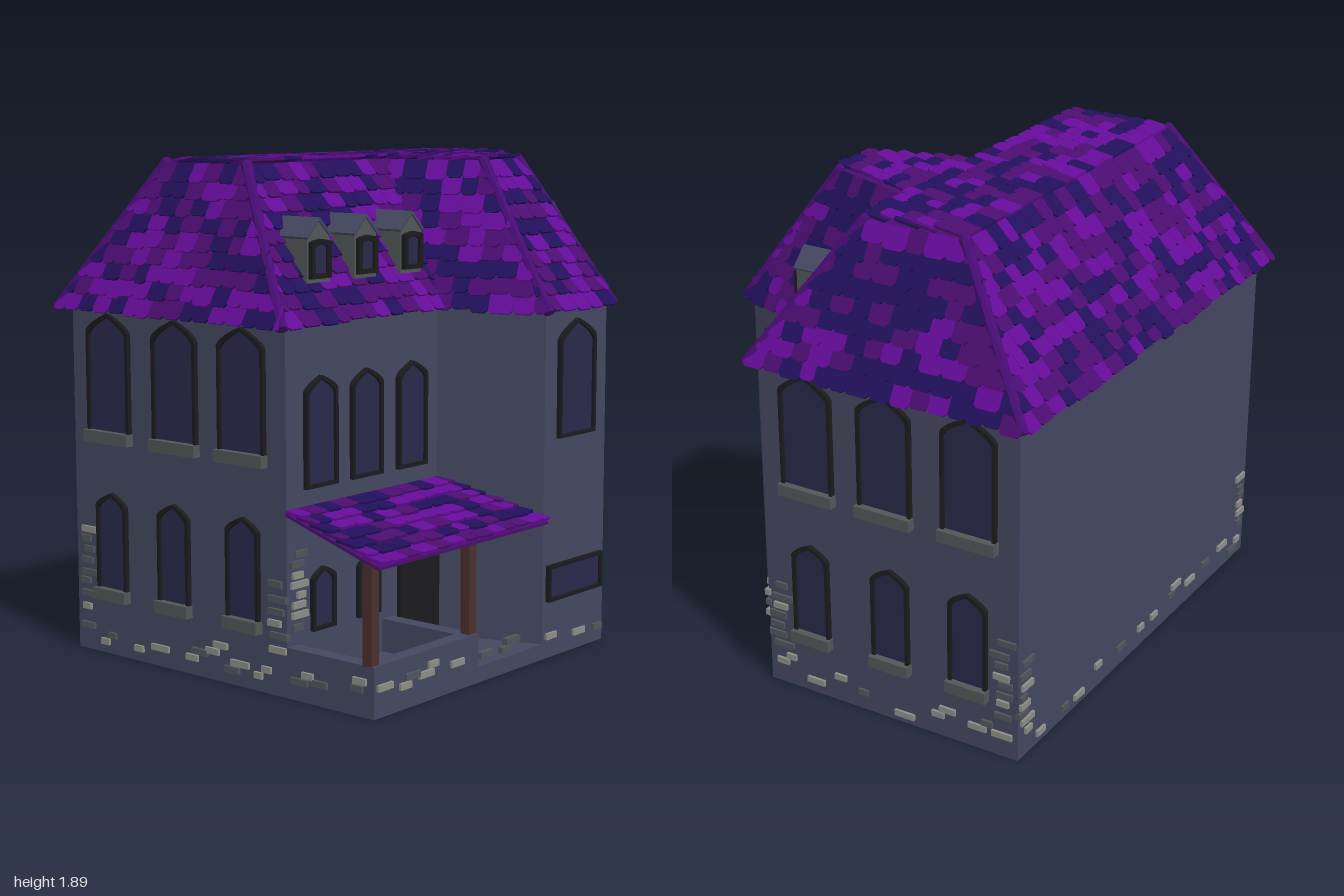
import * as THREE from 'three';
import { mergeGeometries } from 'three/addons/utils/BufferGeometryUtils.js';
import { ConvexGeometry } from 'three/addons/geometries/ConvexGeometry.js';

const mat = (color) => new THREE.MeshStandardMaterial({ color, flatShading: true });
const WALL = mat(0x44475f), GLASS = mat(0x29284a), FRAME = mat(0x1b1b1d), SILL = mat(0x525656);
const STONES = [mat(0x8d8d88), mat(0x50545a)], WOOD = mat(0x4a2f2c), RIDGE = mat(0x480c74);
const TILES = [mat(0x640c98), mat(0x4b0d70), mat(0x22105c)];
const V = (x, y, z) => new THREE.Vector3(x, y, z);

let seed = 7;
const rand = () => (seed = (seed * 16807) % 2147483647) / 2147483647;

function add(parent, name, geo, material, x = 0, y = 0, z = 0) {
  const m = new THREE.Mesh(geo, material);
  m.name = name;
  m.position.set(x, y, z);
  parent.add(m);
  return m;
}
// box given by its minimum and maximum corners
const block = (g, name, m, a, b) => add(g, name, new THREE.BoxGeometry(b[0] - a[0], b[1] - a[1], b[2] - a[2]), m,
  (a[0] + b[0]) / 2, (a[1] + b[1]) / 2, (a[2] + b[2]) / 2);

const polygon = (pts) => new THREE.Shape(pts.map((p) => new THREE.Vector2(...p)));
const extrude = (shape, depth) => new THREE.ExtrudeGeometry(shape, { depth, bevelEnabled: false, curveSegments: 5 });

// pointed-arch outline; peak = 0 gives a rectangle
function arch(w, h, peak, inset = 0) {
  const x = w / 2 - inset, top = h - inset, s = new THREE.Shape();
  s.moveTo(-x, inset);
  s.lineTo(x, inset);
  s.lineTo(x, top - peak);
  if (peak) {
    s.quadraticCurveTo(x * 0.92, top - peak * 0.6, 0, top);
    s.quadraticCurveTo(-x * 0.92, top - peak * 0.6, -x, top - peak);
  } else s.lineTo(-x, top);
  s.closePath();
  return s;
}

// window with frame, glass and optional sill, in a wall's local frame
function addWindow(wall, x, y, w, h, { peak = w * 0.32, sill = false, rim = 0.014 } = {}) {
  const g = new THREE.Group();
  g.name = 'window';
  g.position.set(x, y, 0);
  const frame = arch(w, h, peak);
  frame.holes.push(arch(w, h, peak, rim));
  add(g, 'windowFrame', extrude(frame, 0.018), FRAME);
  add(g, 'windowGlass', extrude(arch(w, h, peak, rim), 0.006), GLASS);
  if (sill) add(g, 'windowSill', new THREE.BoxGeometry(w + 0.01, 0.045, 0.07), SILL, 0, 0.012, 0);
  wall.add(g);
}

// wall frame: local x runs along the wall, local z points outward
function wallFrame(parent, name, x, z, angle) {
  const g = new THREE.Group();
  g.name = name;
  g.position.set(x, 0, z);
  g.rotation.y = angle;
  parent.add(g);
  return g;
}

function addStone(wall, x, y) {
  const w = 0.04 + rand() * 0.05;
  add(wall, 'stone', new THREE.BoxGeometry(w, 0.024, 0.022), STONES[rand() < 0.55 ? 0 : 1], x, y, 0);
}
// scattered stones along the foot of a wall from x0 to x1
function footStones(wall, x0, x1) {
  for (let x = x0 + 0.05; x < x1 - 0.04; x += 0.09 + rand() * 0.1) {
    const y = 0.035 + rand() * 0.08;
    addStone(wall, x, y);
    if (rand() < 0.5) addStone(wall, Math.min(x + 0.04, x1 - 0.05), y + 0.028);
  }
}
// stack of quoins near a wall corner
function cornerStones(wall, x, y0, y1) {
  for (let y = y0; y < y1; y += 0.03 + rand() * 0.025) addStone(wall, x + (rand() - 0.5) * 0.035, y);
}

// rows of overlapping shingles on the face a-b (eave) to d-c (top), seen from outside
function shingles(parent, a, b, c, d, rowHeight = 0.068) {
  const s = b.clone().sub(a), len = s.length();
  s.normalize();
  const n = s.clone().cross(d.clone().sub(a)).normalize(), t = n.clone().cross(s);
  const H = d.clone().sub(a).dot(t), kl = d.clone().sub(a).dot(s) / H, kr = c.clone().sub(b).dot(s) / H;
  const basis = new THREE.Matrix4().makeBasis(s, t, n).setPosition(a);
  const rows = Math.round(H / rowHeight), rh = H / rows, lots = TILES.map(() => []);
  for (let r = 0; r < rows; r++) {
    const left = kl * r * rh, right = len + kr * r * rh;
    let x = left - rand() * 0.05;
    while (x < right) {
      const w = 0.06 + rand() * 0.04, x0 = Math.max(x, left) + 0.001, x1 = Math.min(x + w, right) - 0.001;
      x += w;
      if (x1 - x0 < 0.014) continue;
      const t0 = r * rh - 0.008 - rand() * 0.014, t1 = Math.min((r + 1.2) * rh, H);
      const xl = Math.min(Math.max(x0, kl * t1), x1 - 0.002), xr = Math.max(Math.min(x1, len + kr * t1), xl + 0.001);
      const e = Math.min(0.012, (x1 - x0) / 3);
      const geo = extrude(polygon([[x0 + e, t0], [x1 - e, t0], [x1, t0 + e], [xr, t1], [xl, t1], [x0, t0 + e]]), 0.01);
      const p = geo.attributes.position;
      for (let i = 0; i < p.count; i++) p.setZ(i, p.getZ(i) + (t1 - p.getY(i)) * 0.16);
      lots[Math.floor(rand() * 3)].push(geo.applyMatrix4(basis));
    }
  }
  lots.forEach((l, i) => l.length && add(parent, 'shingles', mergeGeometries(l), TILES[i]));
}

// round ridge beam with a knob at its upper end
function ridge(parent, low, high, r = 0.022) {
  const dir = high.clone().sub(low), mid = low.clone().add(high).multiplyScalar(0.5);
  const m = add(parent, 'hipRidge', new THREE.CylinderGeometry(r, r, dir.length(), 8), RIDGE, mid.x, mid.y, mid.z);
  m.quaternion.setFromUnitVectors(V(0, 1, 0), dir.normalize());
  add(parent, 'ridgeKnob', new THREE.SphereGeometry(r, 8, 6), RIDGE, high.x, high.y, high.z);
}

// truncated roof: eave and top are matching outlines [x, z] counter-clockwise from above
function hipRoof(parent, name, eave, top, openSides, hips) {
  const g = new THREE.Group();
  g.name = name;
  parent.add(g);
  const lo = eave.map(([x, z]) => V(x, 1.325, z)), hi = top.map(([x, z]) => V(x, 1.865, z));
  add(g, 'roofCore', new ConvexGeometry([...lo, ...hi]), TILES[1]);
  for (const i of openSides) {
    const j = (i + 1) % lo.length;
    shingles(g, lo[i], lo[j], hi[j], hi[i]);
  }
  shingles(g, hi[0], hi[1], hi[2], hi[3]);
  for (const i of hips) ridge(g, lo[i].clone().add(V(0, -0.005, 0)), hi[i].clone());
}

export function createModel() {
  const house = new THREE.Group();
  house.name = 'house';

  // walls
  block(house, 'mainBody', WALL, [-0.945, 0, -0.74], [0.945, 1.335, 0.35]);
  const bay = polygon([[-0.1, -0.35], [0.04, -0.75], [0.44, -0.75], [0.58, -0.35]].reverse());
  add(house, 'frontBay', extrude(bay, 1.335).rotateX(-Math.PI / 2), WALL);

  // front wall
  const front = wallFrame(house, 'frontWall', 0, 0.35, 0);
  for (const x of [-0.77, -0.52, -0.26]) addWindow(front, x, 0.74, 0.17, 0.4);
  for (const x of [-0.76, -0.51]) addWindow(front, x, 0.22, 0.125, 0.23);
  addWindow(front, 0.765, 0.84, 0.235, 0.445);
  addWindow(front, 0.76, 0.215, 0.3, 0.145, { peak: 0 });
  block(front, 'door', FRAME, [-0.335, 0.06, -0.02], [-0.1, 0.45, 0.015]);
  footStones(front, 0.6, 0.94);
  cornerStones(front, 0.9, 0.2, 0.43);
  cornerStones(front, -0.89, 0.25, 0.52);

  // bay front and its slanted right side
  const bayFront = wallFrame(house, 'bayFront', 0.24, 0.75, 0);
  addWindow(bayFront, -0.005, 0.84, 0.235, 0.445);
  addWindow(bayFront, -0.003, 0.22, 0.355, 0.14, { peak: 0 });
  footStones(bayFront, -0.2, 0.2);
  footStones(wallFrame(house, 'baySide', 0.51, 0.55, Math.atan2(0.4, 0.14)), -0.2, 0.2);

  // matching side walls
  for (const side of [1, -1]) {
    const wall = wallFrame(house, side > 0 ? 'leftWall' : 'rightWall', side * 0.945, 0, side * Math.PI / 2);
    for (const z of [0.145, -0.19, -0.54]) addWindow(wall, -side * z, 0.83, 0.225, 0.48, { sill: true });
    for (const z of [0.145, -0.205, -0.535]) addWindow(wall, -side * z, 0.225, 0.16, 0.405, { sill: true });
    const ends = [-side * 0.34, side * 0.73].sort((p, q) => p - q);
    footStones(wall, ...ends);
    cornerStones(wall, -side * 0.3, 0.17, 0.43);
    cornerStones(wall, side * 0.68, 0.17, 0.5);
  }

  // back wall
  const back = wallFrame(house, 'backWall', 0, -0.74, Math.PI);
  footStones(back, -0.93, 0.93);
  for (const x of [-0.9, 0.9]) cornerStones(back, x, 0.15, 0.4);

  // porch with parapet, posts and lean-to roof
  const porch = new THREE.Group();
  porch.name = 'porch';
  house.add(porch);
  block(porch, 'porchFloor', WALL, [-0.945, 0, 0.34], [0.04, 0.06, 0.75]);
  block(porch, 'porchFrontParapet', WALL, [-0.945, 0, 0.69], [-0.36, 0.185, 0.75]);
  for (const x of [-0.945, -0.42]) block(porch, 'porchSideParapet', WALL, [x, 0, 0.34], [x + 0.06, 0.185, 0.75]);
  for (const x of [-0.925, -0.38]) block(porch, 'porchPost', WOOD, [x - 0.02, 0.18, 0.7], [x + 0.02, 0.56, 0.74]);
  footStones(wallFrame(porch, 'porchFrontStones', 0, 0.75, 0), -0.94, -0.1);
  footStones(wallFrame(porch, 'porchSideStones', -0.945, 0.55, -Math.PI / 2), -0.19, 0.19);
  const lean = [V(-0.95, 0.54, 0.775), V(0.035, 0.54, 0.775), V(-0.1, 0.67, 0.35), V(-0.95, 0.67, 0.35)];
  add(porch, 'porchRoofSlab', new ConvexGeometry([...lean, ...lean.map((p) => p.clone().add(V(0, -0.012, 0)))]), TILES[1]);
  shingles(porch, ...lean);

  // main roof and bay roof
  hipRoof(house, 'mainRoof',
    [[-0.985, 0.375], [0.985, 0.375], [0.985, -0.775], [-0.985, -0.775]],
    [[-0.76, 0], [0.76, 0], [0.76, -0.41], [-0.76, -0.41]], [0, 1, 2, 3], [0, 1, 2, 3]);
  hipRoof(house, 'bayRoof',
    [[0.03, 0.775], [0.45, 0.775], [0.59, 0.355], [-0.11, 0.355]],
    [[0.13, 0.39], [0.35, 0.39], [0.48, 0], [0, 0]], [0, 1, 3], [0, 1]);

  // dormers
  for (const x of [-0.725, -0.47, -0.21, 0.69]) {
    const d = wallFrame(house, 'dormer', x, 0.31, 0);
    const outline = polygon([[-0.06, 1.46], [0.06, 1.46], [0.06, 1.62], [0, 1.68], [-0.06, 1.62]]);
    add(d, 'dormerBody', extrude(outline, 0.2), SILL, 0, 0, -0.2);
    for (const s of [-1, 1]) {
      const slab = add(d, 'dormerRoof', new THREE.BoxGeometry(0.095, 0.01, 0.21), WALL, s * 0.032, 1.653, -0.098);
      slab.rotation.z = -s * Math.PI / 4;
    }
    addWindow(d, 0, 1.475, 0.105, 0.14, { peak: 0.012, rim: 0.018 });
  }
  return house;
}
